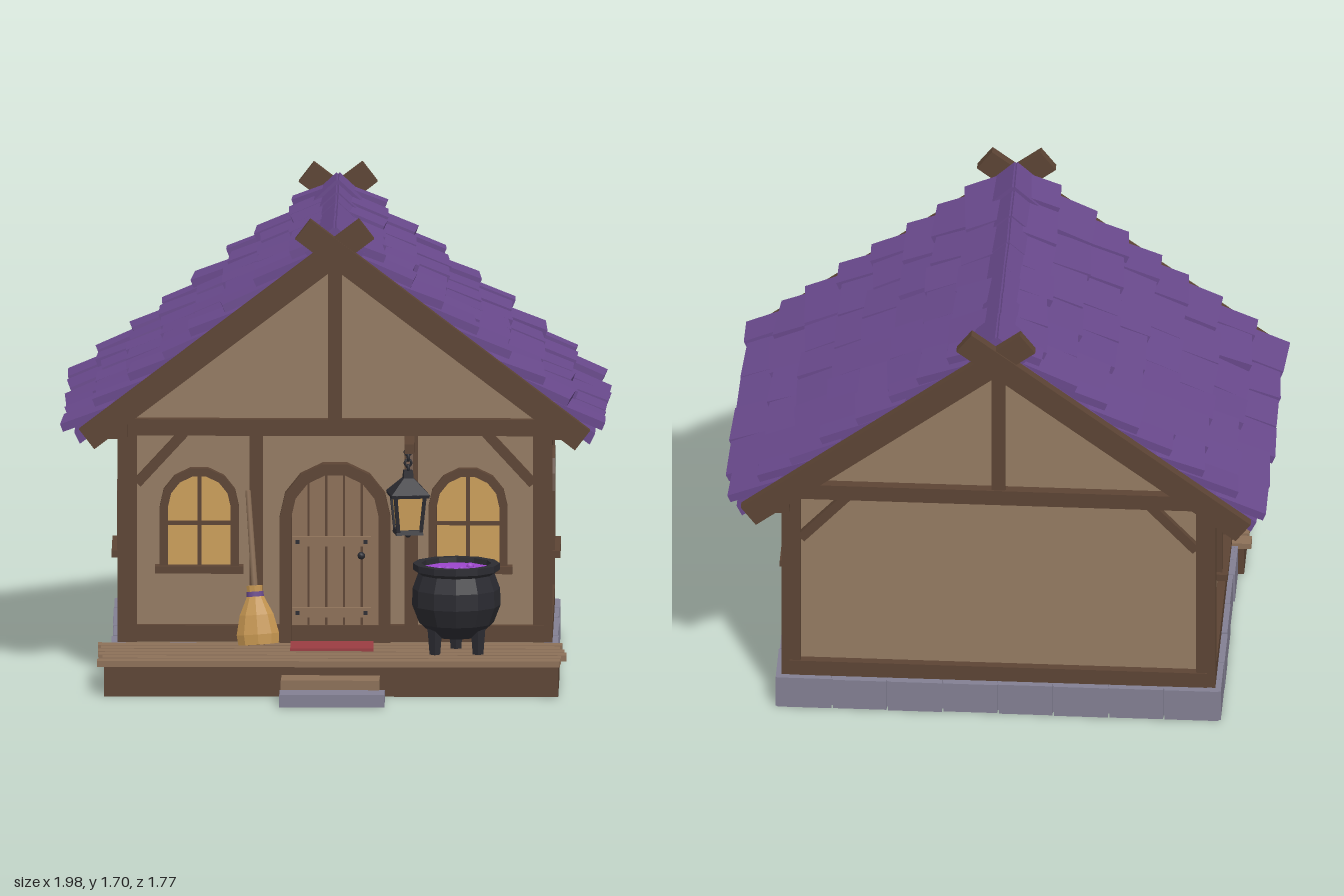
import * as THREE from 'three';

const mat = (name, color) => Object.assign(new THREE.MeshStandardMaterial({ color }), { name });
const M = {
  roof: mat('purple shingle', 0x69498c), wall: mat('plaster', 0x947b62), dark: mat('dark timber', 0x5c4434),
  plank: mat('plank wood', 0x8c7058), stone: mat('stone', 0x827f92), iron: mat('iron', 0x2b2b31),
  amber: mat('lit glass', 0xcb9e5a), straw: mat('straw', 0xc49550), brew: mat('brew', 0x9c46cc), mat: mat('red mat', 0x9a3c42),
};
const MID = -0.245; // middle of the house in z

// small seeded random in -1..1
let seed = 7;
const rnd = () => { seed = (seed * 16807) % 2147483647; return (seed / 2147483647) * 2 - 1; };

function add(parent, name, geo, material, x = 0, y = 0, z = 0) {
  const m = new THREE.Mesh(geo, material);
  m.name = name;
  m.position.set(x, y, z);
  parent.add(m);
  return m;
}
const box = (p, name, material, w, h, d, x, y, z) => add(p, name, new THREE.BoxGeometry(w, h, d), material, x, y, z);
// beam in the xy plane from a to b
function beam(p, name, material, [ax, ay], [bx, by], w, d, z) {
  const m = box(p, name, material, Math.hypot(bx - ax, by - ay), w, d, (ax + bx) / 2, (ay + by) / 2, z);
  m.rotation.z = Math.atan2(by - ay, bx - ax);
  return m;
}
function flat(geo) {
  const g = geo.index ? geo.toNonIndexed() : geo;
  g.computeVertexNormals();
  return g;
}
function group(p, name, x = 0, y = 0, z = 0, ry = 0) {
  const g = new THREE.Group();
  g.name = name;
  g.position.set(x, y, z);
  g.rotation.y = ry;
  p.add(g);
  return g;
}
const sag = z => -0.025 * Math.max(0, 1 - ((z - MID) / 0.6) ** 2);
function sagGeo(geo, z0 = 0) {
  const p = geo.attributes.position;
  for (let i = 0; i < p.count; i++) p.setY(i, p.getY(i) + sag(p.getZ(i) + z0));
  geo.computeVertexNormals();
  return geo;
}

// round-topped outline, base at y0, total height to top
function archPoints(r, y0, top) {
  const pts = [new THREE.Vector2(-r, y0), new THREE.Vector2(r, y0)];
  for (let i = 0; i <= 7; i++) {
    const a = (i / 7) * Math.PI;
    pts.push(new THREE.Vector2(Math.cos(a) * r, top - r + Math.sin(a) * r));
  }
  return pts;
}
const extrude = (shape, depth, steps = 1) => new THREE.ExtrudeGeometry(shape, { depth, steps, bevelEnabled: false });
function archFrame(p, name, r, t, y0, top, depth) {
  const s = new THREE.Shape(archPoints(r, y0, top));
  s.holes.push(new THREE.Path(archPoints(r - t, y0 + 0.002, top - t)));
  add(p, name, extrude(s, depth), M.dark);
}

// window facing +z, wall plane at local z = 0
function windowUnit(p, x, y = 0, z = 0) {
  const g = group(p, 'window', x, y, z);
  archFrame(g, 'windowFrame', 0.143, 0.03, 0.41, 0.78, 0.035);
  add(g, 'windowGlass', extrude(new THREE.Shape(archPoints(0.118, 0.41, 0.755)), 0.008), M.amber);
  box(g, 'muntinVertical', M.dark, 0.014, 0.34, 0.014, 0, 0.585, 0.012);
  box(g, 'muntinHorizontal', M.dark, 0.23, 0.014, 0.014, 0, 0.575, 0.012);
  box(g, 'windowSill', M.dark, 0.32, 0.026, 0.06, 0, 0.408, 0.025);
}

// timber framing of one facade facing +z
function facade(p, name, half, x, z, ry) {
  const g = group(p, name, x, 0, z, ry);
  box(g, 'sillBeam', M.dark, half * 2, 0.06, 0.04, 0, 0.172, 0.01);
  box(g, 'topBeam', M.dark, half * 2 + 0.08, 0.06, 0.06, 0, 0.927, 0.005);
  for (const s of [-1, 1]) beam(g, 'brace', M.dark, [s * (half - 0.04), 0.72], [s * (half - 0.21), 0.905], 0.035, 0.03, 0.008);
  return g;
}

function buildHouse(root) {
  const house = group(root, 'house');
  // walls with gables
  const s = new THREE.Shape([[-0.755, 0.12], [0.755, 0.12], [0.755, 1.0], [0, 1.575], [-0.755, 1.0]].map(a => new THREE.Vector2(...a)));
  add(house, 'walls', extrude(s, 0.91), M.wall, 0, 0, -0.7);
  // stone footing
  box(house, 'footingCore', M.stone, 1.57, 0.11, 0.96, 0, 0.07, MID);
  for (const x of [-1, 1]) for (let i = 0; i < 5; i++)
    box(house, 'footingStone', M.stone, 0.1, 0.12 + rnd() * 0.005, 0.193, x * (0.755 + rnd() * 0.004), 0.074, 0.152 - i * 0.199);
  for (let i = 0; i < 8; i++) for (const z of [-0.7, 0.2])
    box(house, 'footingStone', M.stone, 0.194, 0.12 + rnd() * 0.005, 0.09 + rnd() * 0.004, -0.7 + i * 0.2, 0.074, z);
  // corner posts
  for (const x of [-0.75, 0.75]) for (const z of [-0.69, 0.2]) box(house, 'cornerPost', M.dark, 0.07, 0.8, 0.07, x, 0.54, z);
  const front = facade(house, 'frontFacade', 0.755, 0, 0.21, 0);
  const back = facade(house, 'backFacade', 0.755, 0, -0.7, Math.PI);
  const sides = [-1, 1].map(k => facade(house, 'sideFacade', 0.455, k * 0.755, MID, k * Math.PI / 2));
  for (const g of [front, back]) box(g, 'gablePost', M.dark, 0.05, 0.62, 0.04, 0, 1.25, 0.01);
  for (const x of [-0.285, 0.275]) box(front, 'doorPost', M.dark, 0.048, 0.76, 0.04, x, 0.53, 0.01);
  windowUnit(front, -0.49);
  windowUnit(front, 0.48);
  sides.forEach(g => windowUnit(g, 0));

  // door
  const door = group(front, 'door');
  archFrame(door, 'doorFrame', 0.2, 0.042, 0.14, 0.8, 0.045);
  add(door, 'doorGaps', extrude(new THREE.Shape(archPoints(0.165, 0.14, 0.765)), 0.006), M.dark);
  for (let i = -2; i <= 2; i++) {
    const x = i * 0.064, topAt = u => 0.6 + Math.sqrt(Math.max(0, 0.16 ** 2 - u * u));
    const a = x - 0.028, b = x + 0.028;
    const pl = new THREE.Shape([[a, 0.145], [b, 0.145], [b, topAt(b)], [x, topAt(x)], [a, topAt(a)]].map(v => new THREE.Vector2(...v)));
    add(door, 'doorPlank', extrude(pl, 0.018), M.plank);
  }
  for (const y of [0.25, 0.51]) {
    box(door, 'doorBatten', M.plank, 0.285, 0.036, 0.02, -0.012, y, 0.028);
    for (const x of [-0.135, 0.11]) box(door, 'batten bolt', M.iron, 0.014, 0.014, 0.008, x, y, 0.04);
  }
  add(door, 'doorHandle', new THREE.SphereGeometry(0.014, 8, 6), M.iron, 0.095, 0.458, 0.03);
}

function buildRoof(root) {
  const roof = group(root, 'roof');
  const half = [[0.94, 0.925], [0.92, 0.885]];
  const pts = [[0, 1.64], ...half, [0, 1.585], ...half.map(([x, y]) => [-x, y]).reverse()].map(a => new THREE.Vector2(...a));
  const deck = extrude(new THREE.Shape(pts), 1.19, 8);
  deck.translate(0, 0, -0.84);
  add(roof, 'roofDeck', sagGeo(deck), M.roof);
  const tilt = 0.385;
  for (const s of [-1, 1]) {
    // eave plates
    add(roof, 'eavePlate', sagGeo(new THREE.BoxGeometry(0.07, 0.065, 1.2, 1, 1, 8), MID), M.dark, s * 0.785, 0.935, MID);
    // shingle rows
    for (let r = 0; r < 8; r++) {
      const edges = [-0.84];
      let z = -0.84 + (r % 2 ? 0.1 : 0.19) + rnd() * 0.02;
      while (z < 0.25) { edges.push(z); z += 0.195 + rnd() * 0.03; }
      edges.push(0.345);
      for (let i = 0; i + 1 < edges.length; i++) {
        const w = edges[i + 1] - edges[i], zc = (edges[i] + edges[i + 1]) / 2;
        const len = r === 7 ? 0.17 : 0.24, drop = rnd() * 0.012;
        const x = 0.972 - 0.115 * r + drop - Math.cos(tilt) * len / 2;
        const y = 0.955 + 0.088 * r - drop * 0.6 + Math.sin(tilt) * len / 2 + sag(zc) + rnd() * 0.004;
        const m = box(roof, 'shingle', M.roof, len, 0.03, w - 0.004, s * x, y, zc);
        m.rotation.set(rnd() * 0.03, rnd() * 0.09, -s * (tilt + rnd() * 0.03), 'ZYX');
      }
    }
    // ridge caps
    for (let i = 0; i < 7; i++) {
      const zc = -0.755 + i * 0.17;
      const m = box(roof, 'ridgeCap', M.roof, 0.14, 0.028, 0.168, s * 0.047, 1.622 + sag(zc) + (i % 6 ? 0 : 0.006), zc);
      m.rotation.set(0, rnd() * 0.02, -s * 0.75, 'ZYX');
    }
    // crossed barge boards
    for (const z of [-0.865, 0.375])
      beam(roof, 'bargeBoard', M.dark, [s * 0.895, 0.907], [-s * 0.115, 1.678], 0.09, 0.036, z + s * 0.003);
  }
}

function buildPorch(root) {
  const porch = group(root, 'porch');
  for (let i = 0; i < 6; i++)
    box(porch, 'deckBoard', M.plank, 1.67 + rnd() * 0.02, 0.022, 0.055, -0.008 + rnd() * 0.012, 0.13, 0.278 + i * 0.0695);
  for (const z of [0.27, 0.632]) box(porch, 'deckBeam', M.dark, 1.64, 0.108, 0.035, -0.01, 0.065, z);
  for (const x of [-0.81, 0.79]) box(porch, 'deckEndBeam', M.dark, 0.04, 0.108, 0.38, x, 0.065, 0.452);
  box(porch, 'woodStep', M.plank, 0.355, 0.08, 0.115, -0.012, 0.051, 0.718).rotation.y = -0.02;
  box(porch, 'stoneStep', M.stone, 0.38, 0.045, 0.108, -0.005, 0.034, 0.83);
  box(porch, 'doorMat', M.mat, 0.3, 0.01, 0.16, -0.01, 0.146, 0.355);
}

function buildCauldron(root) {
  const g = group(root, 'cauldron', 0.44, 0, 0.447);
  const profile = [[0, 0.19], [0.08, 0.2], [0.135, 0.25], [0.16, 0.315], [0.158, 0.375], [0.138, 0.43], [0.157, 0.443],
    [0.157, 0.467], [0.127, 0.467], [0.122, 0.43]].map(a => new THREE.Vector2(...a));
  add(g, 'cauldronPot', flat(new THREE.LatheGeometry(profile, 12)), M.iron);
  add(g, 'brewSurface', new THREE.CircleGeometry(0.126, 12).rotateX(-Math.PI / 2), M.brew, 0, 0.448, 0);
  for (const [x, z, r] of [[-0.03, 0.06, 0.017], [0.02, 0.04, 0.012], [-0.06, 0.02, 0.011], [0.05, -0.03, 0.014]])
    add(g, 'bubble', new THREE.SphereGeometry(r, 8, 6), M.brew, x, 0.45, z);
  for (let i = 0; i < 3; i++) {
    const a = 0.5 + i * Math.PI * 2 / 3;
    add(g, 'cauldronLeg', flat(new THREE.CylinderGeometry(0.032, 0.022, 0.11, 6)), M.iron, Math.cos(a) * 0.09, 0.195, Math.sin(a) * 0.09);
  }
}

function buildLantern(root) {
  const bracket = group(root, 'lanternBracket', 0.27, 0, 0);
  box(bracket, 'bracketArm', M.dark, 0.035, 0.035, 0.2, 0, 0.88, 0.33);
  box(bracket, 'bracketBrace', M.dark, 0.025, 0.025, 0.17, 0, 0.825, 0.285).rotation.x = 0.72;
  const g = group(root, 'lantern', 0.265, 0, 0.38, 0.15);
  for (let i = 0; i < 4; i++)
    add(g, 'chainLink', new THREE.TorusGeometry(0.012, 0.005, 5, 8), M.iron, 0, 0.862 - i * 0.02, 0).rotation.y = i * Math.PI / 2;
  const tower = (name, m, rt, rb, h, y) => add(g, name, flat(new THREE.CylinderGeometry(rt * Math.SQRT2, rb * Math.SQRT2, h, 4).rotateY(Math.PI / 4)), m, 0, y, 0);
  tower('lanternCap', M.iron, 0.016, 0.018, 0.03, 0.78);
  tower('lanternRoof', M.iron, 0.018, 0.07, 0.055, 0.74);
  tower('lanternEave', M.iron, 0.07, 0.068, 0.012, 0.707);
  tower('lanternGlass', M.amber, 0.052, 0.04, 0.13, 0.64);
  tower('lanternBase', M.iron, 0.046, 0.05, 0.018, 0.573);
  add(g, 'lanternFinial', new THREE.SphereGeometry(0.012, 8, 6), M.iron, 0, 0.56, 0);
  for (const x of [-1, 1]) for (const z of [-1, 1]) {
    const bar = box(g, 'lanternBar', M.iron, 0.013, 0.135, 0.013, x * 0.047, 0.64, z * 0.047);
    bar.rotation.set(z * 0.09, 0, -x * 0.09);
  }
}

function buildBroom(root) {
  const g = group(root, 'broom', -0.275, 0.145, 0.325);
  g.rotation.set(-0.12, 0, 0.07);
  const profile = [[0, 0], [0.074, 0.003], [0.078, 0.04], [0.062, 0.11], [0.036, 0.165], [0.027, 0.185], [0.03, 0.215], [0, 0.217]];
  const head = add(g, 'bristles', flat(new THREE.LatheGeometry(profile.map(a => new THREE.Vector2(...a)), 9)), M.straw);
  head.scale.z = 0.6;
  add(g, 'bristleBinding', new THREE.CylinderGeometry(0.031, 0.032, 0.018, 9), M.roof, 0, 0.185, 0).scale.z = 0.7;
  add(g, 'broomHandle', new THREE.CylinderGeometry(0.01, 0.012, 0.38, 7), M.plank, 0, 0.37, 0);
}

export function createModel() {
  const root = new THREE.Group();
  root.name = 'cottage';
  [buildHouse, buildRoof, buildPorch, buildCauldron, buildLantern, buildBroom].forEach(f => f(root));
  return root;
}
